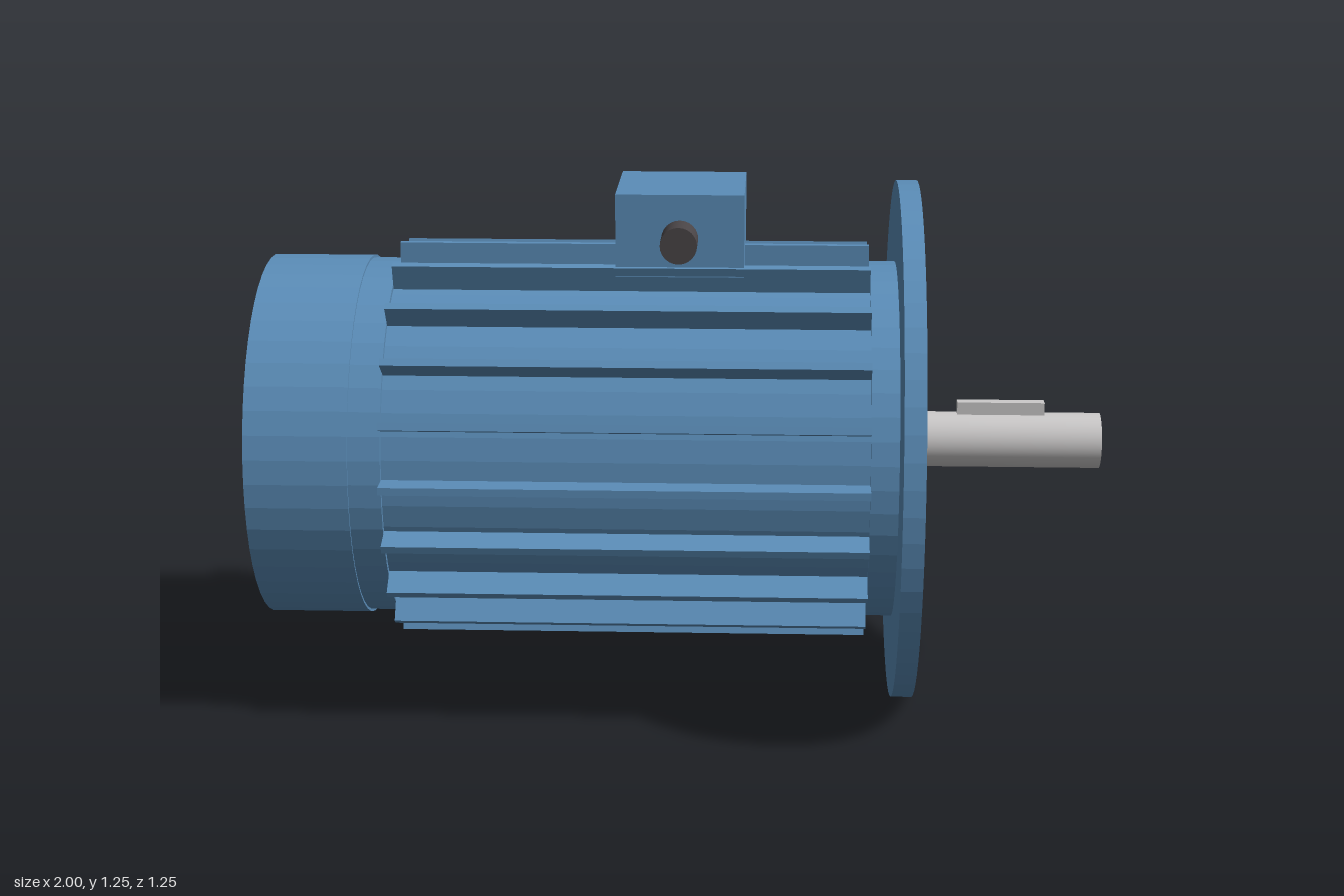
import * as THREE from 'three';

const AXIS_Y = 0.625;

export function createModel() {
  const paint = new THREE.MeshStandardMaterial({ color: 0x5b8db8, flatShading: true });
  paint.name = 'blue paint';
  const steel = new THREE.MeshStandardMaterial({ color: 0xcccaca });
  steel.name = 'bright steel';
  const rubber = new THREE.MeshStandardMaterial({ color: 0x4a4547 });
  rubber.name = 'dark rubber';

  const model = new THREE.Group();
  model.name = 'electricMotor';

  const add = (name, geometry, material, parent = model) => {
    const mesh = new THREE.Mesh(geometry, material);
    mesh.name = name;
    parent.add(mesh);
    return mesh;
  };

  // Cylinder along the motor axis, from x0 to x1
  const drum = (name, radius, x0, x1, material, sides = 48) => {
    const geometry = new THREE.CylinderGeometry(radius, radius, x1 - x0, sides);
    geometry.rotateZ(-Math.PI / 2);
    add(name, geometry, material).position.set((x0 + x1) / 2, AXIS_Y, 0);
  };

  // Box given by its minimum and maximum corners
  const block = (name, min, max, material) => {
    const size = max.map((v, i) => v - min[i]);
    add(name, new THREE.BoxGeometry(...size), material)
      .position.set(...min.map((v, i) => v + size[i] / 2));
  };

  // Housing, front flange and output shaft
  drum('fanCover', 0.436, -1, -0.76, paint);
  drum('rearEndBell', 0.43, -0.76, -0.685, paint);
  drum('statorHousing', 0.417, -0.685, 0.435, paint);
  drum('frontEndBell', 0.43, 0.435, 0.5, paint);
  drum('mountingFlange', 0.625, 0.5, 0.55, paint, 64);
  drum('shaft', 0.067, 0.55, 1, steel, 32);
  block('shaftKey', [0.655, 0.66, -0.014], [0.865, 0.721, 0.014], steel);

  // Radial cooling fins every 18 degrees, leaving the back flank smooth
  const fins = new THREE.Group();
  fins.name = 'coolingFins';
  fins.position.set(-0.125, AXIS_Y, 0);
  const finGeometry = new THREE.BoxGeometry(1.12, 0.078, 0.018);
  finGeometry.translate(0, 0.439, 0);
  for (let i = 0; i < 20; i++) {
    if (i >= 14 && i <= 16) continue;
    add('coolingFin', finGeometry, paint, fins).rotation.x = i * Math.PI / 10;
  }
  model.add(fins);

  // Terminal box with cable gland
  block('terminalBox', [-0.16, 1.055, -0.15], [0.14, 1.25, 0.15], paint);
  const gland = new THREE.CylinderGeometry(0.043, 0.043, 0.1, 24);
  gland.rotateX(Math.PI / 2);
  add('cableGland', gland, rubber).position.set(-0.01, 1.147, 0.185);

  return model;
}
